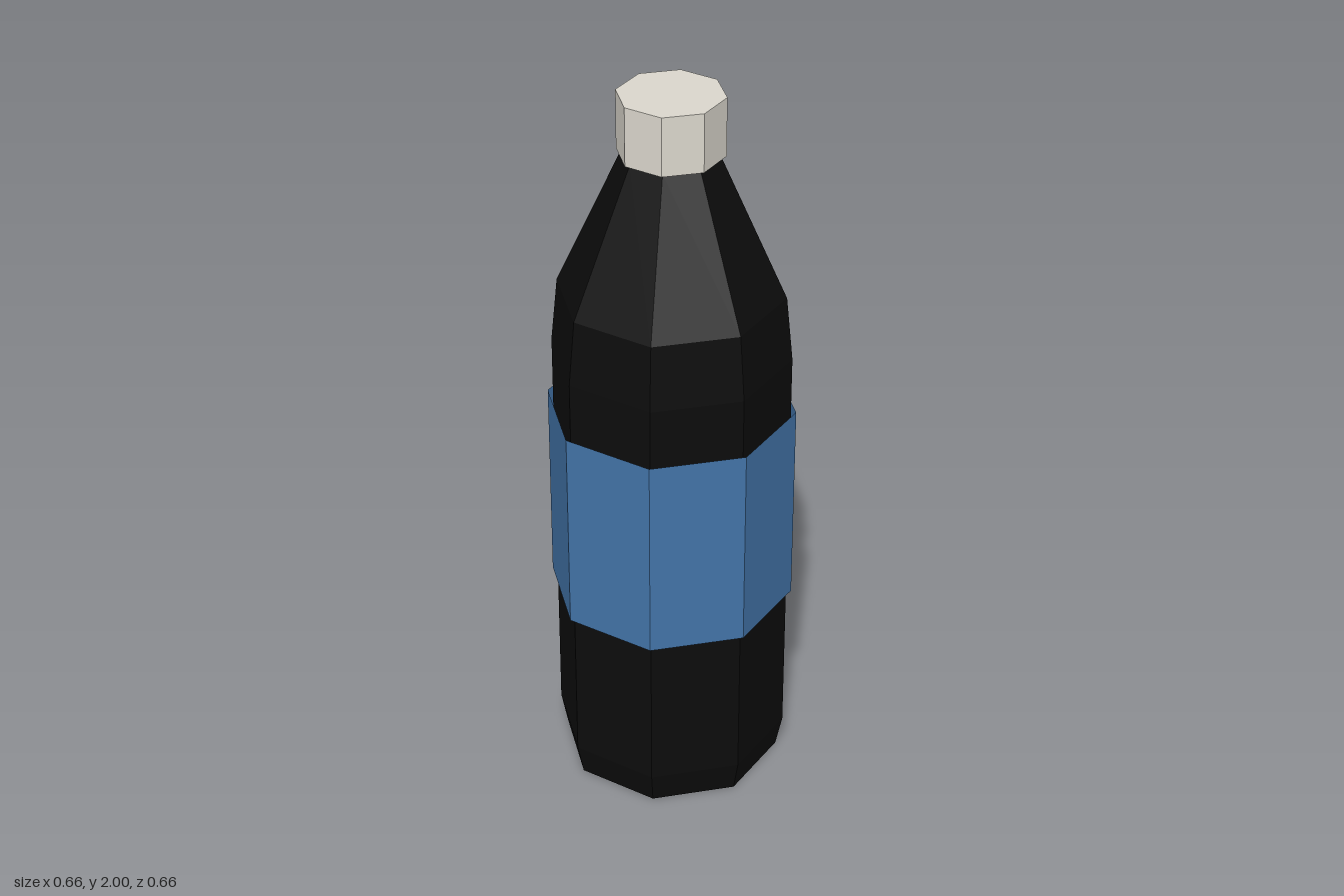
import * as THREE from 'three';

const SIDES = 8;

function material(name, color, side = THREE.FrontSide) {
  return new THREE.MeshStandardMaterial({ name, color, side, flatShading: true });
}

export function createModel() {
  const model = new THREE.Group();
  model.name = 'bottle';

  const add = (name, geometry, mat, y = 0) => {
    const mesh = new THREE.Mesh(geometry, mat);
    mesh.name = name;
    mesh.position.y = y;
    model.add(mesh);
  };

  // Body: closed base, straight wall, sloping shoulder and neck
  const profile = [
    [0, 0], [0.3, 0], [0.318, 0.09], [0.318, 1.27],
    [0.3, 1.45], [0.125, 1.84], [0, 1.84],
  ].map(([r, y]) => new THREE.Vector2(r, y));
  add('body', new THREE.LatheGeometry(profile, SIDES), material('black', 0x0c0c0c));

  // Label: open sleeve standing slightly off the body
  add('label', new THREE.CylinderGeometry(0.332, 0.332, 0.575, SIDES, 1, true),
    material('blue', 0x4374a9, THREE.DoubleSide), 0.8225);

  // Cap
  add('cap', new THREE.CylinderGeometry(0.14, 0.14, 0.16, SIDES),
    material('off white', 0xdcd8ce), 1.92);

  return model;
}
